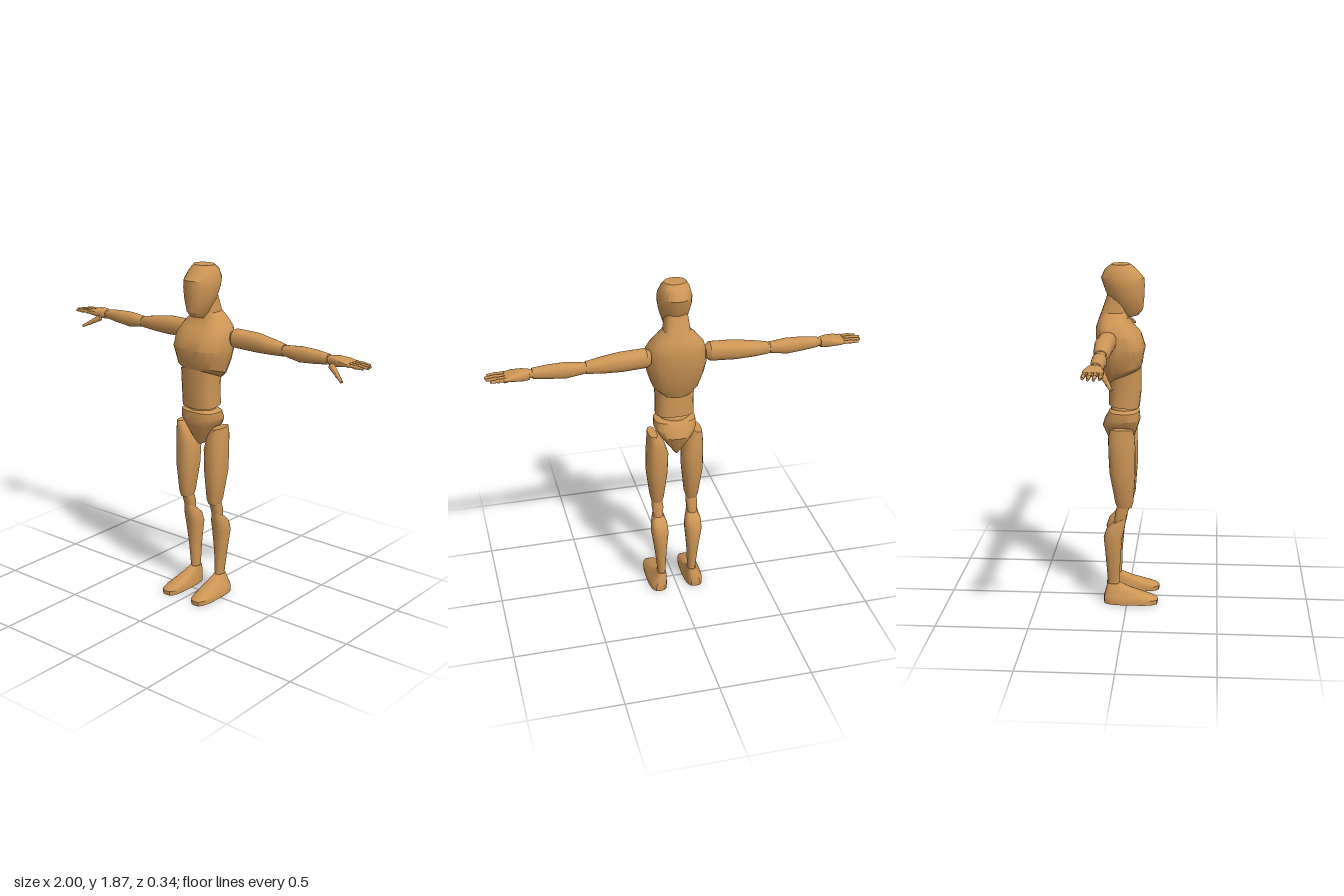
import * as THREE from 'three';
import { toCreasedNormals } from 'three/addons/utils/BufferGeometryUtils.js';

const wood = new THREE.MeshStandardMaterial({ color: 0xcd9555 });
wood.name = 'wood';

// Loft of rounded sections [t, u0, u1, z0, z1, slope] along axis y (u = x) or x (u = y).
// slope tilts a section along z; side -1 mirrors in x.
function loft(sections, { axis = 'y', side = 1, power = 2.4, n = 20 } = {}) {
  const pos = [], idx = [];
  const put = (t, u, z) => (axis === 'y' ? pos.push(u * side, t, z) : pos.push(t * side, u, z));
  const flip = (axis === 'x') !== (side < 0);
  const tri = (a, b, c) => (flip ? idx.push(a, c, b) : idx.push(a, b, c));
  const round = (v) => Math.sign(v) * Math.abs(v) ** (2 / power);
  for (const [t, u0, u1, z0, z1, slope = 0] of sections) {
    for (let i = 0; i < n; i++) {
      const a = (i / n) * Math.PI * 2;
      const dz = round(Math.sin(a)) * (z1 - z0) / 2;
      put(t + slope * dz, (u0 + u1) / 2 + round(Math.cos(a)) * (u1 - u0) / 2, (z0 + z1) / 2 + dz);
    }
  }
  for (let j = 0; j < sections.length - 1; j++) {
    for (let i = 0; i < n; i++) {
      const a = j * n + i, b = j * n + (i + 1) % n;
      tri(a, a + n, b);
      tri(b, a + n, b + n);
    }
  }
  // end caps
  const last = sections.length - 1;
  for (const j of [0, last]) {
    const [t, u0, u1, z0, z1] = sections[j];
    const c = pos.length / 3;
    put(t, (u0 + u1) / 2, (z0 + z1) / 2);
    for (let i = 0; i < n; i++) {
      const a = j * n + i, b = j * n + (i + 1) % n;
      if (j === 0) tri(c, a, b); else tri(c, b, a);
    }
  }
  const g = new THREE.BufferGeometry();
  g.setAttribute('position', new THREE.Float32BufferAttribute(pos, 3));
  g.setIndex(idx);
  return toCreasedNormals(g, 0.55);
}

// Sections symmetric in x: [y, halfWidth, zBack, zFront, slope]
const symmetric = (rows) => rows.map(([y, h, ...rest]) => [y, -h, h, ...rest]);

export function createModel() {
  const model = new THREE.Group();
  model.name = 'jointedFigure';

  const add = (name, geometry, parent = model) => {
    const m = new THREE.Mesh(geometry, wood);
    m.name = name;
    parent.add(m);
    return m;
  };
  const ball = (name, parent, x, y, z, r, sx = 1, sy = 1, sz = 1) => {
    const m = add(name, new THREE.SphereGeometry(r, 16, 10), parent);
    m.position.set(x, y, z);
    m.scale.set(sx, sy, sz);
  };
  const rod = (name, parent, from, to, r0, r1) => {
    const a = new THREE.Vector3(...from), b = new THREE.Vector3(...to);
    const d = b.clone().sub(a);
    const m = add(name, new THREE.CylinderGeometry(r1, r0, d.length(), 8), parent);
    m.position.copy(a).add(b).multiplyScalar(0.5);
    m.quaternion.setFromUnitVectors(new THREE.Vector3(0, 1, 0), d.normalize());
  };

  // Head with a flat crown and tapering face
  add('head', loft(symmetric([
    [1.595, 0.03, -0.03, 0.055, 0.2], [1.625, 0.052, -0.06, 0.078, 0.1],
    [1.70, 0.078, -0.11, 0.085], [1.76, 0.09, -0.132, 0.087], [1.80, 0.088, -0.145, 0.085],
    [1.845, 0.075, -0.125, 0.045], [1.873, 0.058, -0.09, 0.01],
  ]), { power: 2.1 }));

  // Chest, shoulders and neck in one block
  add('chestAndNeck', loft(symmetric([
    [1.28, 0.09, -0.112, 0.068, 0.47], [1.31, 0.13, -0.128, 0.077, 0.32],
    [1.37, 0.15, -0.155, 0.082, 0.1], [1.43, 0.165, -0.166, 0.092],
    [1.50, 0.158, -0.173, 0.07], [1.54, 0.145, -0.172, 0.035], [1.585, 0.108, -0.157, 0.003],
    [1.62, 0.07, -0.143, 0], [1.72, 0.058, -0.108, 0],
  ]), { power: 2.6 }));

  add('abdomen', loft(symmetric([
    [1.11, 0.104, -0.104, 0.062, -0.1], [1.20, 0.102, -0.104, 0.072], [1.29, 0.108, -0.1, 0.072, 0.4],
  ]), { power: 2.6 }));
  ball('waistJoint', model, 0, 1.09, -0.022, 0.08, 1.05, 0.6, 0.9);

  // Wedge-shaped hips
  add('pelvis', loft(symmetric([
    [0.885, 0.012, -0.085, 0.005], [0.925, 0.042, -0.108, 0.03], [1.0, 0.094, -0.138, 0.056],
    [1.035, 0.114, -0.128, 0.066], [1.08, 0.113, -0.104, 0.06], [1.092, 0.09, -0.085, 0.045],
  ]), { power: 2.6 }));

  for (const side of [1, -1]) {
    const label = side > 0 ? 'left' : 'right';
    const leg = new THREE.Group();
    leg.name = label + 'Leg';
    const arm = new THREE.Group();
    arm.name = label + 'Arm';
    model.add(leg, arm);

    // Leg
    add('thigh', loft([
      [0.555, 0.07, 0.128, -0.055, 0.025], [0.585, 0.06, 0.137, -0.066, 0.034],
      [0.75, 0.042, 0.158, -0.096, 0.046], [0.87, 0.038, 0.158, -0.102, 0.046],
      [0.95, 0.062, 0.154, -0.102, 0.042], [1.0, 0.10, 0.148, -0.09, 0.035],
    ], { side }), leg);
    add('knee', loft([
      [0.47, 0.072, 0.124, -0.072, -0.012], [0.52, 0.066, 0.13, -0.066, 0.002],
      [0.58, 0.072, 0.126, -0.05, 0.02],
    ], { side }), leg);
    add('shin', loft([
      [0.12, 0.066, 0.110, -0.108, -0.042], [0.25, 0.06, 0.125, -0.118, -0.038],
      [0.38, 0.048, 0.144, -0.13, -0.026], [0.43, 0.052, 0.142, -0.114, -0.014],
      [0.48, 0.068, 0.128, -0.085, -0.004, 0.5],
    ], { side }), leg);
    ball('ankle', leg, side * 0.088, 0.112, -0.075, 0.026, 0.85, 1, 1.2);
    add('foot', loft([
      [0, 0.052, 0.157, -0.128, 0.17], [0.025, 0.05, 0.157, -0.13, 0.172],
      [0.04, 0.053, 0.15, -0.129, 0.15], [0.08, 0.058, 0.127, -0.118, 0.02],
      [0.108, 0.064, 0.112, -0.11, -0.04],
    ], { side, power: 3 }), leg);

    // Arm
    const opts = { axis: 'x', side };
    add('upperArm', loft([
      [0.145, 1.455, 1.52, -0.13, -0.07], [0.17, 1.438, 1.538, -0.148, -0.052],
      [0.30, 1.434, 1.536, -0.155, -0.058], [0.40, 1.437, 1.52, -0.15, -0.062],
      [0.485, 1.442, 1.505, -0.135, -0.075],
    ], opts), arm);
    ball('elbow', arm, side * 0.49, 1.472, -0.105, 0.028);
    add('forearm', loft([
      [0.495, 1.444, 1.502, -0.135, -0.076], [0.59, 1.43, 1.512, -0.142, -0.066],
      [0.68, 1.438, 1.51, -0.138, -0.07], [0.76, 1.448, 1.502, -0.13, -0.08],
    ], opts), arm);
    ball('wrist', arm, side * 0.77, 1.474, -0.105, 0.023);

    // Hand
    add('palm', loft([
      [0.775, 1.447, 1.497, -0.134, -0.078], [0.81, 1.447, 1.502, -0.145, -0.068],
      [0.86, 1.457, 1.496, -0.16, -0.055], [0.9, 1.464, 1.486, -0.158, -0.058],
    ], { ...opts, power: 3 }), arm);
    [[-0.148, 0.975], [-0.121, 0.995], [-0.094, 1.0], [-0.067, 0.985]].forEach(([z, tip], i) => {
      const finger = new THREE.Group();
      finger.name = 'finger' + (i + 1);
      arm.add(finger);
      const mid = (0.895 + tip) / 2;
      ball('knuckle', finger, side * 0.9, 1.475, z, 0.011);
      rod('innerBone', finger, [side * 0.9, 1.475, z], [side * mid, 1.475, z], 0.009, 0.009);
      ball('fingerJoint', finger, side * mid, 1.474, z, 0.011);
      rod('outerBone', finger, [side * mid, 1.475, z], [side * tip, 1.472, z], 0.01, 0.007);
    });
    rod('thumbBase', arm, [side * 0.80, 1.455, -0.07], [side * 0.855, 1.422, -0.04], 0.018, 0.011);
    ball('thumbJoint', arm, side * 0.855, 1.422, -0.04, 0.013);
    rod('thumbTip', arm, [side * 0.855, 1.422, -0.04], [side * 0.895, 1.4, -0.02], 0.011, 0.008);
  }
  return model;
}
